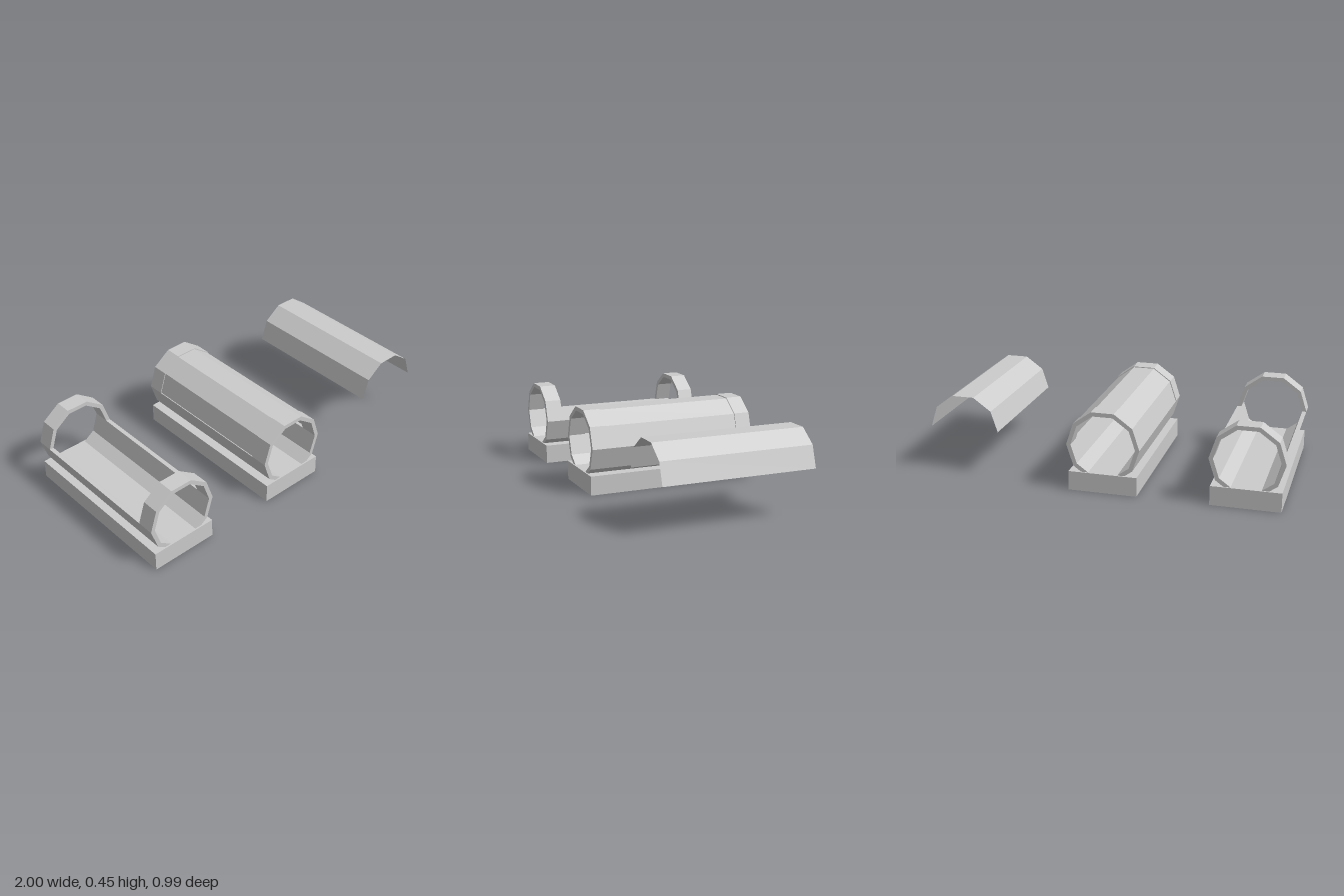
import * as THREE from 'three';

const SIDES = 10, AXIS_Y = 0.259;
const OUTER = 0.203, INNER = 0.179, COVER = 0.198;
const material = new THREE.MeshStandardMaterial({ color: 0xcccccc, flatShading: true });
const sheetMaterial = new THREE.MeshStandardMaterial({ color: 0xcccccc, flatShading: true, side: THREE.DoubleSide });

// Half of a decagon, starting at the given corner
function halfArc(radius, start) {
  return Array.from({ length: SIDES / 2 + 1 }, (_, i) => {
    const a = ((start + i) / SIDES) * Math.PI * 2;
    return new THREE.Vector2(Math.cos(a) * radius, Math.sin(a) * radius);
  });
}

// Thick half shell running along z
function halfShell(name, start, z0, z1) {
  const shape = new THREE.Shape([...halfArc(OUTER, start), ...halfArc(INNER, start).reverse()]);
  const geometry = new THREE.ExtrudeGeometry(shape, { depth: z1 - z0, bevelEnabled: false });
  const mesh = new THREE.Mesh(geometry, material);
  mesh.name = name;
  mesh.position.set(0, AXIS_Y, z0);
  return mesh;
}

// Thin folded sheet that closes the opening
function cover(x) {
  const length = 0.85;
  const geometry = new THREE.CylinderGeometry(COVER, COVER, length, SIDES / 2, 1, true, Math.PI / 2, Math.PI);
  geometry.rotateX(Math.PI / 2);
  geometry.computeBoundingBox();
  // Keep the arch upward
  if (geometry.boundingBox.max.y < 0.01) geometry.rotateZ(Math.PI);
  const mesh = new THREE.Mesh(geometry, sheetMaterial);
  mesh.name = 'cover';
  mesh.position.set(x, AXIS_Y, 0.012);
  return mesh;
}

// Base block, lower trough and an arch at each end
function housing(name, x) {
  const group = new THREE.Group();
  group.name = name;
  const base = new THREE.Mesh(new THREE.BoxGeometry(0.38, 0.108, 0.99), material);
  base.name = 'base';
  base.position.y = 0.054;
  group.add(
    base,
    halfShell('trough', SIDES / 2, -0.486, 0.487),
    halfShell('backArch', 0, -0.486, -0.394),
    halfShell('frontArch', 0, 0.392, 0.487)
  );
  group.position.x = x;
  return group;
}

export function createModel() {
  const model = new THREE.Group();
  model.name = 'tubeHousingSet';
  const closed = housing('closedHousing', -0.021);
  closed.add(cover(0));
  model.add(housing('openHousing', -0.797), closed, cover(0.802));
  return model;
}
